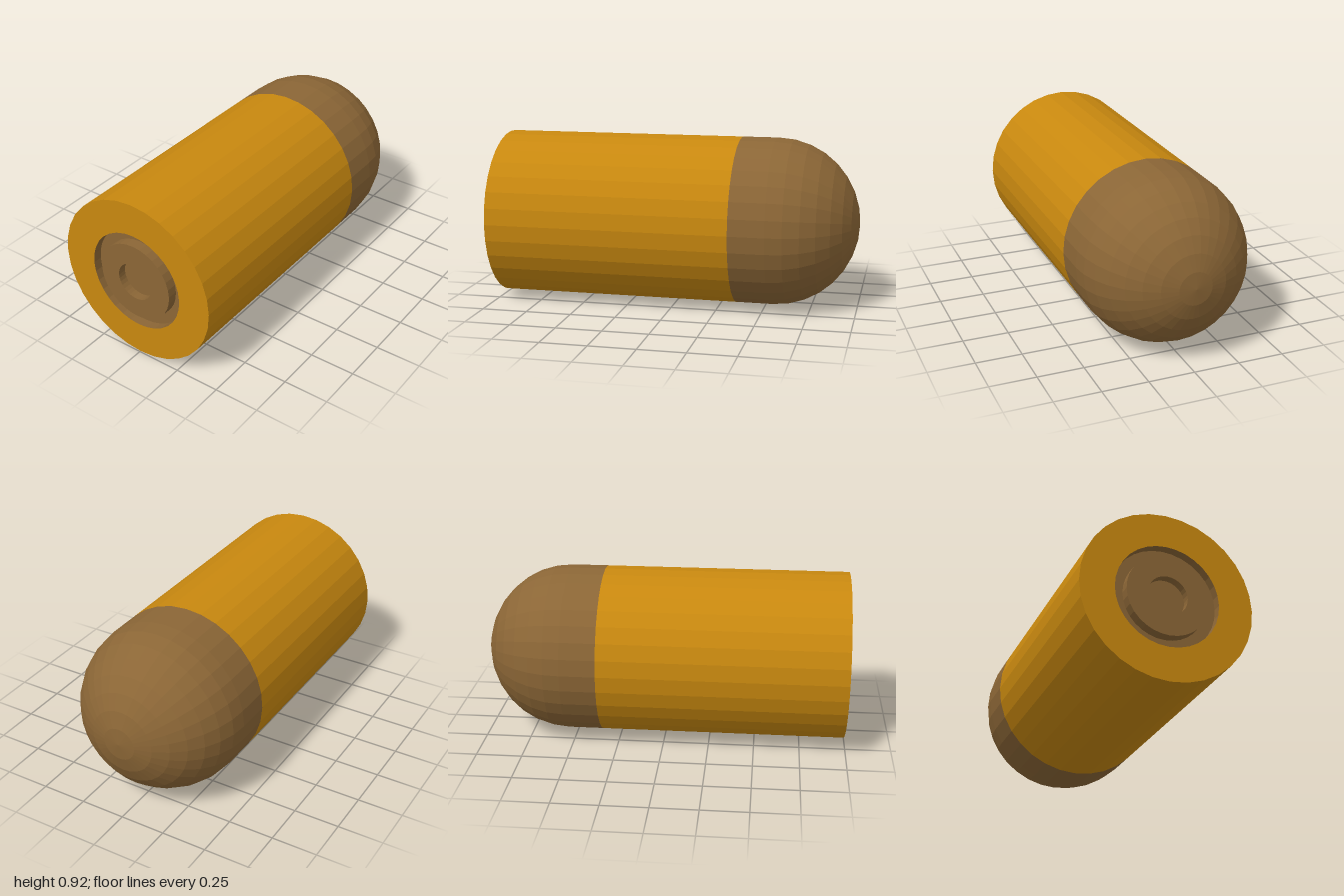
import * as THREE from 'three';

const RADIUS = 0.461;     // outer radius of case and tip
const SIDES = 32;
const SEAM_Z = -0.345;    // where the case meets the tip
const DOME_Z = -0.539;    // where the tip starts to round off
const RIM_Z = 0.994;      // flat end of the case

const brass = new THREE.MeshStandardMaterial({ color: 0xc8880f });
brass.name = 'brass';
const bronze = new THREE.MeshStandardMaterial({ color: 0x8b6636 });
bronze.name = 'bronze';

// Faceted solid of revolution about the z axis; profile is [radius, z], running round the outside
function turned(name, profile, material) {
  const lathe = new THREE.LatheGeometry(profile.map(([r, z]) => new THREE.Vector2(r, z)), SIDES);
  lathe.rotateX(Math.PI / 2);
  const geometry = lathe.toNonIndexed();
  geometry.computeVertexNormals();
  const mesh = new THREE.Mesh(geometry, material);
  mesh.name = name;
  mesh.position.y = RADIUS;
  return mesh;
}

export function createModel() {
  const model = new THREE.Group();
  model.name = 'cartridge';

  // Straight case with a flat ring at the front
  model.add(turned('case', [[RADIUS, SEAM_Z], [RADIUS, RIM_Z], [0.278, RIM_Z]], brass));

  // Recessed pocket around the primer
  model.add(turned('primerPocket', [[0.278, RIM_Z], [0.278, 0.945], [0.219, 0.945]], bronze));

  // Raised primer with a round dimple
  model.add(turned('primer', [[0.219, 0.945], [0.219, 1], [0.105, 1], [0.105, 0.955], [0, 0.955]], bronze));

  // Rounded tip: hemisphere followed by a short straight band
  const tip = [];
  for (let i = 0; i <= 8; i++) {
    const a = (i / 8) * Math.PI / 2;
    tip.push([RADIUS * Math.sin(a), DOME_Z - RADIUS * Math.cos(a)]);
  }
  tip.push([RADIUS, SEAM_Z]);
  model.add(turned('tip', tip, bronze));

  return model;
}
